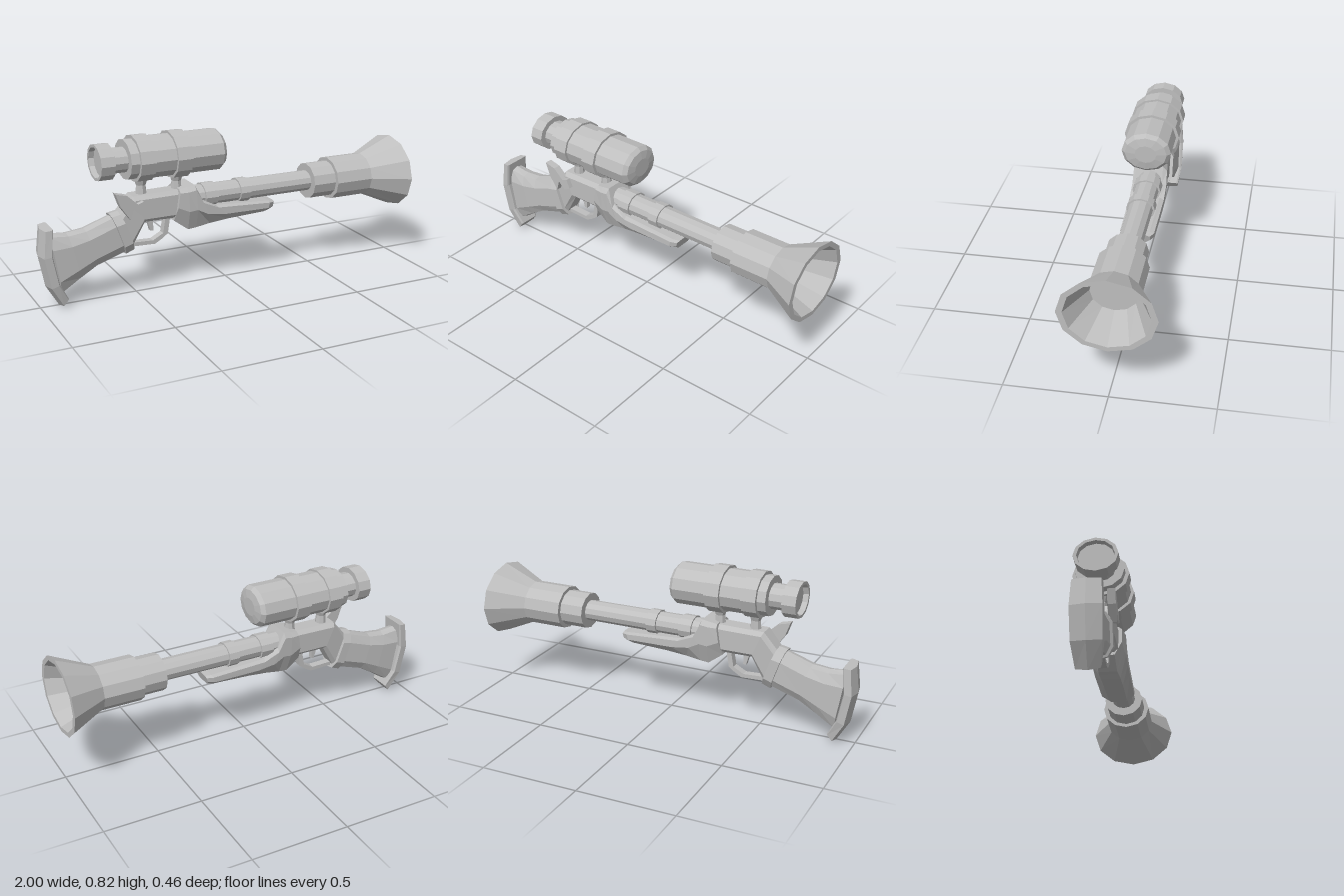
import * as THREE from 'three';

const grey = new THREE.MeshStandardMaterial({ color: 0xbebebe, flatShading: true });
grey.name = 'grey';

// Cross-sections: [0 = first edge .. 1 = second edge, sideways -1 .. 1]
const mirrored = (half) => [
  ...half,
  ...half.filter(([, v]) => v > 0).reverse().map(([u, v]) => [u, -v]),
];
const ROUND = Array.from({ length: 12 }, (_, i) => {
  const a = (i / 12) * Math.PI * 2;
  return [(1 - Math.cos(a)) / 2, Math.sin(a)];
});
const OCTAGON = mirrored([[0, 0], [0.04, 0.6], [0.24, 1], [0.76, 1], [0.96, 0.6], [1, 0]]);
const CHAMFERED = mirrored([[0, 0.65], [0.14, 1], [0.86, 1], [1, 0.65]]);
const KEEL = mirrored([[0, 0.75], [0.1, 1], [0.55, 1], [1, 0.55]]);
const PEAKED = mirrored([[0, 0], [0.25, 0.95], [0.9, 1], [1, 0.85]]);

// Skin rings of [x1, y1, x2, y2, halfWidth] with a section and close both ends
function loft(name, rings, section) {
  const pts = rings.map(([x1, y1, x2, y2, w]) =>
    section.map(([u, v]) => [x1 + (x2 - x1) * u, y1 + (y2 - y1) * u, v * w]));
  const pos = [];
  const tri = (a, b, c) => pos.push(...a, ...b, ...c);
  const n = section.length;
  for (let r = 0; r < pts.length - 1; r++) {
    const a = pts[r], b = pts[r + 1];
    for (let i = 0; i < n; i++) {
      const j = (i + 1) % n;
      tri(a[i], a[j], b[j]);
      tri(a[i], b[j], b[i]);
    }
  }
  const first = pts[0], last = pts[pts.length - 1];
  for (let i = 1; i < n - 1; i++) {
    tri(first[0], first[i + 1], first[i]);
    tri(last[0], last[i], last[i + 1]);
  }
  const geo = new THREE.BufferGeometry();
  geo.setAttribute('position', new THREE.Float32BufferAttribute(pos, 3));
  geo.computeVertexNormals();
  const mesh = new THREE.Mesh(geo, grey);
  mesh.name = name;
  return mesh;
}

// Twelve-sided part along x from rows of [x, radiusY, radiusZ]
const turned = (name, cy, rows) =>
  loft(name, rows.map(([x, ry, rz]) => [x, cy + ry, x, cy - ry, rz]), ROUND);

// Flat side profile given a thickness in z
function plate(name, outline, depth, z) {
  const shape = new THREE.Shape(outline.map(([x, y]) => new THREE.Vector2(x, y)));
  const geo = new THREE.ExtrudeGeometry(shape, { depth, bevelEnabled: false });
  geo.translate(0, 0, z - depth / 2);
  const mesh = new THREE.Mesh(geo, grey);
  mesh.name = name;
  return mesh;
}

export function createModel() {
  const model = new THREE.Group();
  model.name = 'scopedBlunderbuss';

  // Butt and grip
  model.add(
    loft('buttPlate', [
      [-0.905, 0, -0.87, 0.045, 0.058],
      [-0.97, 0.11, -0.915, 0.13, 0.074],
      [-1, 0.27, -0.945, 0.28, 0.077],
      [-0.985, 0.405, -0.935, 0.412, 0.07],
    ], PEAKED),
    loft('stock', [
      [-0.95, 0.378, -0.895, 0.06, 0.056],
      [-0.855, 0.367, -0.8, 0.125, 0.06],
      [-0.765, 0.376, -0.71, 0.18, 0.06],
      [-0.61, 0.43, -0.54, 0.235, 0.056],
    ], OCTAGON),
    loft('gripCollar', [
      [-0.635, 0.432, -0.56, 0.217, 0.07],
      [-0.59, 0.44, -0.515, 0.235, 0.07],
    ], OCTAGON),
  );

  // Receiver and fore-end
  model.add(
    loft('receiver', [
      [-0.6, 0.42, -0.53, 0.25, 0.052],
      [-0.52, 0.515, -0.46, 0.375, 0.06],
      [-0.22, 0.52, -0.22, 0.375, 0.06],
    ], CHAMFERED),
    loft('foreEnd', [
      [-0.28, 0.525, -0.305, 0.36, 0.078],
      [-0.24, 0.533, -0.23, 0.305, 0.085],
      [-0.2, 0.54, -0.185, 0.31, 0.088],
      [-0.165, 0.46, -0.11, 0.322, 0.09],
      [-0.085, 0.42, 0, 0.332, 0.09],
      [0.22, 0.402, 0.2, 0.34, 0.086],
      [0.25, 0.398, 0.235, 0.345, 0.07],
    ], KEEL),
  );

  // Barrel with bands, sleeves and hollow flared muzzle
  model.add(turned('barrel', 0.463, [[-0.23, 0.055, 0.063], [0.48, 0.053, 0.063]]));
  for (const [x0, x1] of [[-0.138, -0.07], [0.06, 0.115]]) {
    model.add(turned('barrelBand', 0.463, [[x0, 0.062, 0.074], [x1, 0.062, 0.074]]));
  }
  model.add(turned('muzzle', 0.46, [
    [0.476, 0.094, 0.103], [0.604, 0.094, 0.103], [0.604, 0.112, 0.127],
    [0.813, 0.112, 0.127], [1, 0.193, 0.23], [1, 0.17, 0.2], [0.82, 0.1, 0.114],
  ]));

  // Trigger, guard and hammer
  model.add(
    plate('triggerGuard', [
      [-0.54, 0.27], [-0.41, 0.265], [-0.355, 0.295], [-0.34, 0.38], [-0.315, 0.38],
      [-0.33, 0.29], [-0.365, 0.265], [-0.4, 0.245], [-0.54, 0.25],
    ].reverse(), 0.04, 0),
    plate('trigger', [
      [-0.44, 0.385], [-0.42, 0.315], [-0.405, 0.315], [-0.405, 0.385],
    ], 0.025, 0),
    plate('hammer', [
      [-0.625, 0.55], [-0.6, 0.48], [-0.55, 0.41], [-0.535, 0.465], [-0.495, 0.43],
      [-0.46, 0.45], [-0.48, 0.495], [-0.51, 0.485], [-0.565, 0.535],
    ], 0.04, 0.065),
  );

  // Telescopic sight with recessed eyepiece and bulging lens
  const scope = new THREE.Group();
  scope.name = 'scope';
  scope.add(
    turned('scopeTube', 0.697, [
      [-0.67, 0.073, 0.088], [-0.697, 0.076, 0.092], [-0.697, 0.09, 0.109],
      [-0.626, 0.09, 0.109], [-0.626, 0.063, 0.078],
      [-0.55, 0.063, 0.078], [-0.55, 0.1, 0.121], [-0.43, 0.1, 0.121],
      [-0.43, 0.106, 0.127], [-0.06, 0.106, 0.127], [-0.04, 0.088, 0.108],
      [-0.032, 0.047, 0.056],
    ]),
    turned('rearRing', 0.697, [[-0.506, 0.116, 0.14], [-0.43, 0.116, 0.14]]),
    turned('frontRing', 0.697, [[-0.315, 0.119, 0.143], [-0.238, 0.119, 0.143]]),
  );
  for (const x of [-0.462, -0.272]) {
    const post = new THREE.Mesh(new THREE.CylinderGeometry(0.022, 0.03, 0.1, 8), grey);
    post.position.set(x, 0.55, 0);
    const cap = new THREE.Mesh(new THREE.CylinderGeometry(0.036, 0.025, 0.03, 8), grey);
    cap.position.set(x, 0.573, 0);
    post.name = 'mountPost';
    cap.name = 'mountCap';
    scope.add(post, cap);
  }
  model.add(scope);
  return model;
}
